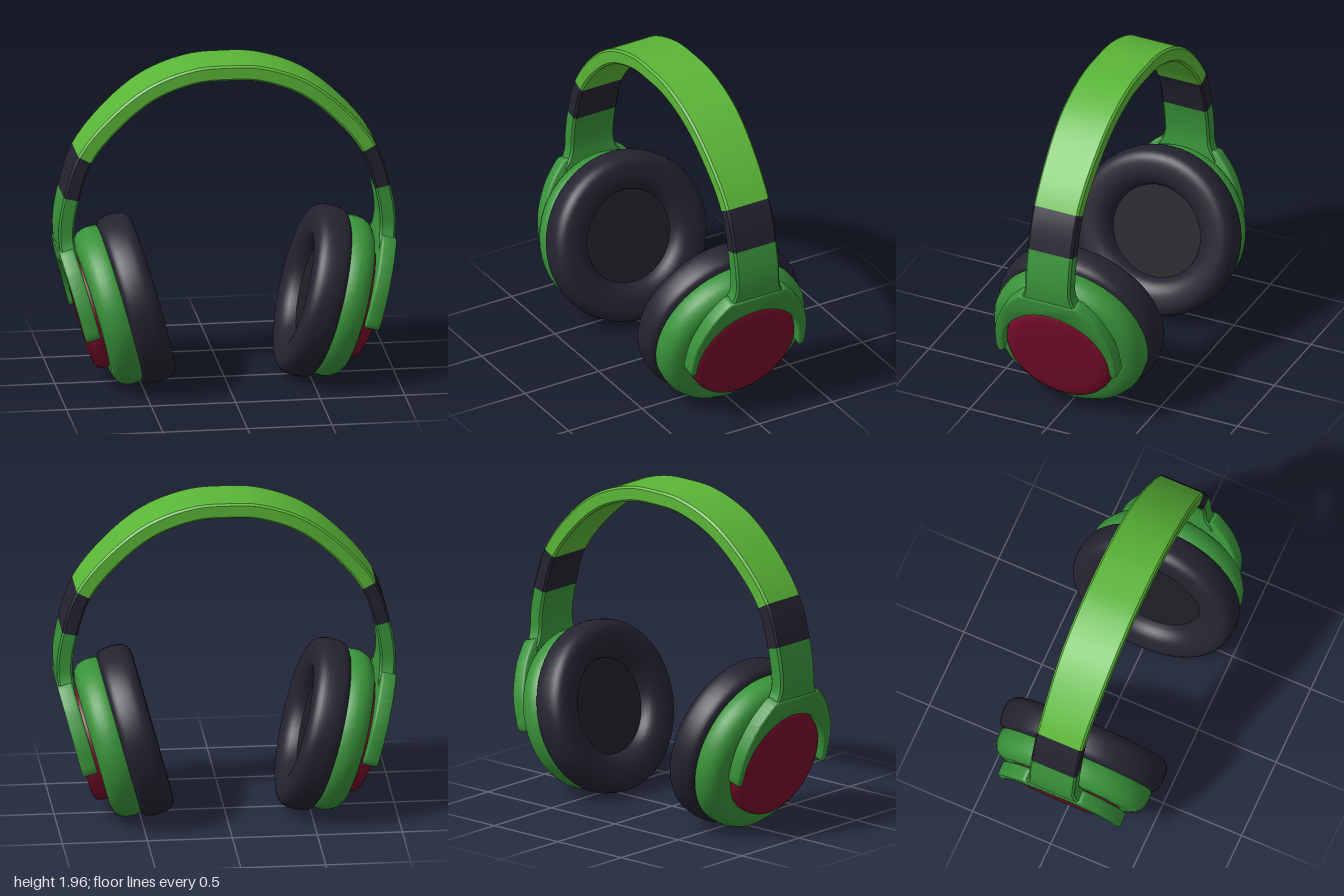
import * as THREE from 'three';
import { toCreasedNormals } from 'three/addons/utils/BufferGeometryUtils.js';

const paint = (name, color) => {
  const m = new THREE.MeshStandardMaterial({ color });
  m.name = name;
  return m;
};

const TILT = THREE.MathUtils.degToRad(15);

export function createModel() {
  const lime = paint('lime green', 0x5ab637);
  const green = paint('leaf green', 0x39933a);
  const dark = paint('dark navy', 0x242330);
  const black = paint('speaker black', 0x1e1e25);
  const red = paint('crimson', 0x780d2a);

  const model = new THREE.Group();
  model.name = 'headphones';

  const add = (parent, name, geometry, material, crease = 0.7) => {
    const mesh = new THREE.Mesh(toCreasedNormals(geometry, crease), material);
    mesh.name = name;
    parent.add(mesh);
  };

  // Headband centre line, from the left cup over the top to the right cup
  const half = [[0.934, 0.79], [0.951, 0.97], [0.92, 1.17], [0.84, 1.41],
    [0.66, 1.636], [0.44, 1.81], [0.19, 1.9]];
  const path = new THREE.CatmullRomCurve3([
    ...half, [0, 1.912], ...half.map(([x, y]) => [-x, y]).reverse(),
  ].map(([x, y]) => new THREE.Vector3(x, y, 0)));
  const last = half.length * 2;

  // Half width: flares into the yoke at the bottom and widens at the crown
  const halfWidth = (y) => {
    const flare = Math.max(0, (0.95 - y) / 0.13);
    const crown = THREE.MathUtils.smoothstep(y, 1.4, 1.9);
    return 0.145 + Math.min(0.055, 0.055 * flare * flare) + 0.017 * crown;
  };

  // Sweep a bevelled rectangle along the path between two control points
  const bandPiece = (from, to) => {
    const steps = (to - from) * 6, h = 0.046, b = 0.012;
    const pos = [], index = [];
    for (let i = 0; i <= steps; i++) {
      const t = (from + (to - from) * i / steps) / last;
      const p = path.getPoint(t), d = path.getTangent(t), w = halfWidth(p.y);
      const section = [[w, -h + b], [w, h - b], [w - b, h], [b - w, h],
        [-w, h - b], [-w, b - h], [b - w, -h], [w - b, -h]];
      for (const [z, n] of section) pos.push(p.x + d.y * n, p.y - d.x * n, z);
    }
    for (let i = 0; i < steps; i++) {
      for (let j = 0; j < 8; j++) {
        const a = i * 8 + j, c = i * 8 + (j + 1) % 8;
        index.push(a, c, c + 8, a, c + 8, a + 8);
      }
    }
    const e = steps * 8;
    for (let j = 1; j < 7; j++) index.push(0, j + 1, j, e, e + j, e + j + 1);
    const g = new THREE.BufferGeometry();
    g.setAttribute('position', new THREE.Float32BufferAttribute(pos, 3));
    g.setIndex(index);
    return g;
  };

  add(model, 'headband', bandPiece(3, last - 3), lime);
  add(model, 'leftSlider', bandPiece(2, 3), dark);
  add(model, 'rightSlider', bandPiece(last - 3, last - 2), dark);
  add(model, 'leftStem', bandPiece(0, 2), green);
  add(model, 'rightStem', bandPiece(last - 2, last), green);

  // Round parts: profile of [radius, distance outward along the cup axis]
  const turned = (profile) => new THREE.LatheGeometry(
    profile.map(([r, s]) => new THREE.Vector2(r, s)), 48).rotateZ(-Math.PI / 2);

  // Padded ring with a soft rounded profile
  const cushionProfile = new THREE.SplineCurve([[0.28, 0.1], [0.3, 0.045], [0.35, 0.008],
    [0.42, 0], [0.47, 0.008], [0.502, 0.04], [0.512, 0.09], [0.51, 0.15], [0.495, 0.19],
    [0.46, 0.21]].map(([r, s]) => new THREE.Vector2(r, s))).getPoints(27).map((p) => [p.x, p.y]);

  // Forked yoke: arms around the cap, merging into the stem
  const yokeGeometry = () => {
    const s = new THREE.Shape();
    const outer = [[0.382, 0.12], [0.355, 0.22], [0.295, 0.34], [0.22, 0.43], [0.185, 0.46]];
    const vec = ([x, y]) => new THREE.Vector2(x, y);
    s.moveTo(0.34, 0);
    s.bezierCurveTo(0.335, -0.075, 0.39, -0.075, 0.39, 0);
    s.splineThru(outer.map(vec));
    s.lineTo(-0.185, 0.46);
    s.splineThru([...outer.slice(0, -1).reverse(), [0.39, 0]].map(([x, y]) => vec([-x, y])));
    s.bezierCurveTo(-0.39, -0.075, -0.335, -0.075, -0.34, 0);
    s.absarc(0, 0, 0.34, Math.PI, 0, true);
    return new THREE.ExtrudeGeometry(s, {
      depth: 0.061, bevelThickness: 0.015, bevelSize: 0.012, bevelOffset: -0.012,
      bevelSegments: 3, curveSegments: 10,
    }).rotateY(Math.PI / 2).translate(0.4, 0, 0);
  };

  // Ear cups: local x points outward along the tilted axis
  for (const side of ['left', 'right']) {
    const mount = new THREE.Group();
    mount.name = `${side}EarCup`;
    mount.rotation.y = side === 'left' ? 0 : Math.PI;
    const cup = new THREE.Group();
    cup.name = `${side}CupParts`;
    cup.position.set(0.42, 0.535, 0);
    cup.rotation.z = -TILT;
    mount.add(cup);
    model.add(mount);

    add(cup, 'cushion', turned(cushionProfile), dark, 1);
    add(cup, 'speakerCover', turned([[0, 0.09], [0.29, 0.09], [0.29, 0.2]]), black);
    add(cup, 'shell', turned([[0, 0.2], [0.465, 0.2], [0.478, 0.215], [0.48, 0.27],
      [0.475, 0.3], [0.458, 0.335], [0.43, 0.358], [0.39, 0.37], [0, 0.37]]), green);
    add(cup, 'cap', turned([[0, 0.36], [0.342, 0.36], [0.34, 0.41], [0.33, 0.435],
      [0.305, 0.45], [0.26, 0.455], [0, 0.455]]), red);
    add(cup, 'yoke', yokeGeometry(), green);
  }
  return model;
}
